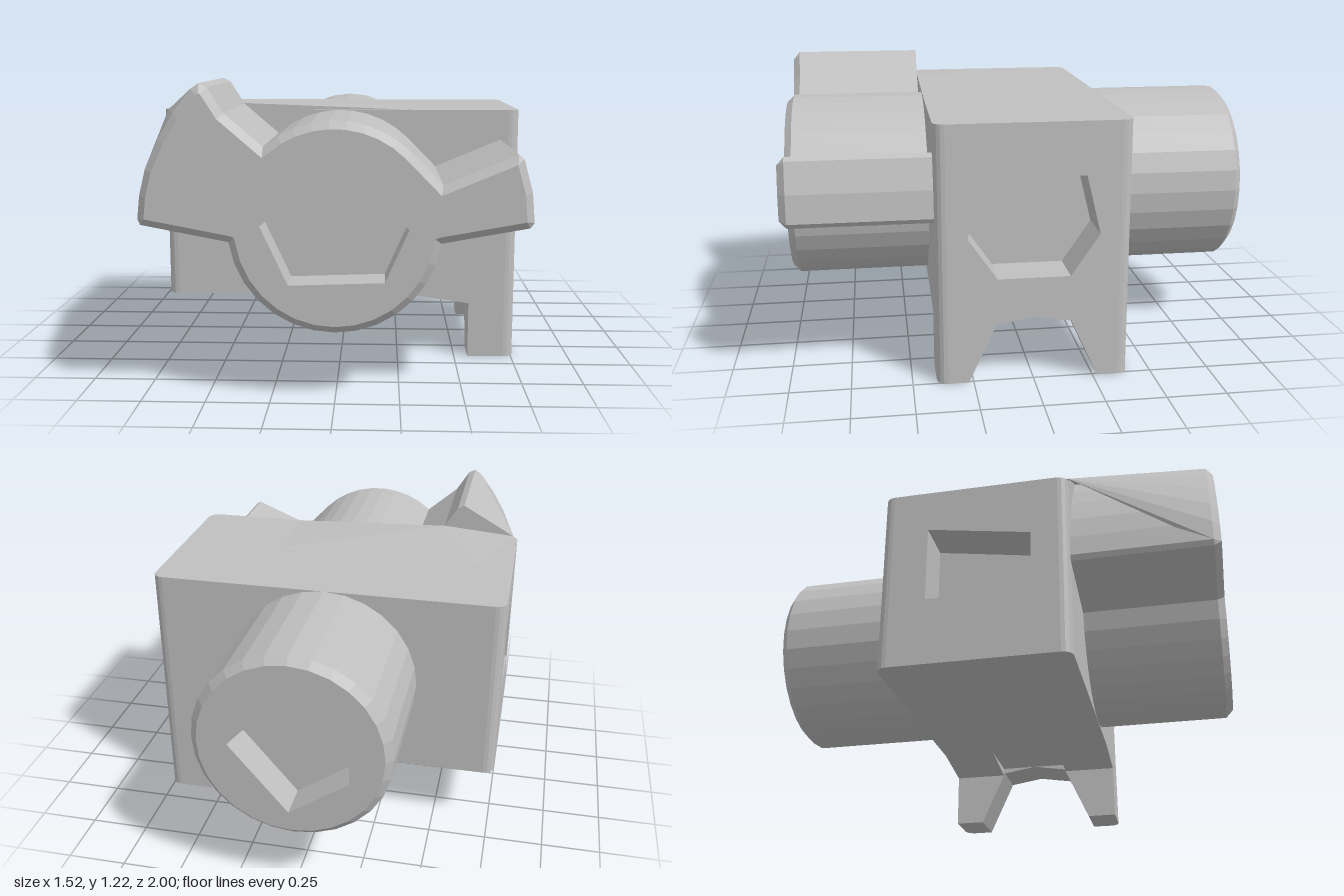
import * as THREE from 'three';

const CY = 0.68, R = 0.405; // axis height and radius of the round bosses

// Points on an arc about the boss axis, in degrees
function arc(from, to, steps) {
  return Array.from({ length: steps + 1 }, (_, i) => {
    const a = THREE.MathUtils.degToRad(from + (to - from) * i / steps);
    return [R * Math.cos(a), CY + R * Math.sin(a)];
  });
}

// Mitred inward offset of a counter-clockwise outline
function inset(pts, d) {
  const n = pts.length;
  const normal = (a, b) => {
    const l = Math.hypot(b[0] - a[0], b[1] - a[1]);
    return [(a[1] - b[1]) / l, (b[0] - a[0]) / l];
  };
  return pts.map((p, i) => {
    const u = normal(pts[(i + n - 1) % n], p), v = normal(p, pts[(i + 1) % n]);
    const k = d / Math.max(0.4, 1 + u[0] * v[0] + u[1] * v[1]);
    return [p[0] + (u[0] + v[0]) * k, p[1] + (u[1] + v[1]) * k];
  });
}

// Inset that only narrows the sides, for rounded vertical edges
const narrow = (pts, d) => pts.map(([x, y]) => [THREE.MathUtils.clamp(x, d - 0.4, 0.4 - d), y]);

function fromTriangles(pos) {
  const g = new THREE.BufferGeometry();
  g.setAttribute('position', new THREE.Float32BufferAttribute(pos, 3));
  g.computeVertexNormals();
  return g;
}

// Prism through rings of [z, inset], with a blind pocket in its front cap
function socketSolid(outline, pocket, rings, depth, shrink = inset) {
  const pos = [];
  const cap = (pts, hole, z, dir) => {
    const v = a => a.map(p => new THREE.Vector2(...p));
    const all = hole ? [...pts, ...hole] : pts;
    for (const t of THREE.ShapeUtils.triangulateShape(v(pts), hole ? [v(hole)] : [])) {
      let [a, b, c] = t.map(i => all[i]);
      const area = (b[0] - a[0]) * (c[1] - a[1]) - (b[1] - a[1]) * (c[0] - a[0]);
      if (area * dir < 0) [b, c] = [c, b];
      pos.push(...a, z, ...b, z, ...c, z);
    }
  };
  const wall = (lo, z0, hi, z1) => lo.forEach((a, i) => {
    const j = (i + 1) % lo.length, b = lo[j], c = hi[j], d = hi[i];
    pos.push(...a, z0, ...b, z0, ...c, z1, ...a, z0, ...c, z1, ...d, z1);
  });
  const loops = rings.map(([z, d]) => [d ? shrink(outline, d) : outline, z]);
  for (let i = 1; i < loops.length; i++) wall(...loops[i - 1], ...loops[i]);
  const [face, top] = loops[loops.length - 1];
  cap(loops[0][0], null, loops[0][1], -1);
  cap(face, pocket, top, 1);
  wall(pocket, top, pocket, top - depth);
  cap(pocket, null, top - depth, 1);
  return fromTriangles(pos);
}

export function createModel() {
  const group = new THREE.Group();
  const grey = new THREE.MeshStandardMaterial({ color: 0xbfbfbf, side: THREE.DoubleSide });
  grey.name = 'grey';
  const add = (name, geometry) => {
    const m = new THREE.Mesh(geometry, grey);
    m.name = name;
    group.add(m);
    return m;
  };

  // Central block
  add('bodyCore', new THREE.BoxGeometry(1.12, 0.81, 0.8)).position.y = CY;

  // Block ends with rounded vertical edges
  const r = 0.045;
  const endRings = [[0.56, 0]];
  for (let i = 0; i <= 4; i++) {
    const a = i / 4 * Math.PI / 2;
    endRings.push([0.76 - r + r * Math.sin(a), r * (1 - Math.cos(a))]);
  }
  const hexagon = [[0.21, 0.865], [-0.21, 0.865], [-0.27, 0.62], [-0.15, 0.445], [0.15, 0.445], [0.27, 0.62]];
  const leggedEnd = [[-0.4, 0], [-0.27, 0], [-0.155, 0.25], [0, 0.275], [0.155, 0.25], [0.27, 0],
    [0.4, 0], [0.4, 1.085], [-0.4, 1.085]];
  add('leggedEnd', socketSolid(leggedEnd, hexagon, endRings, 0.19, narrow).rotateY(Math.PI / 2));

  const square = [[-0.2, 0.57], [0.24, 0.53], [0.24, 0.83], [-0.2, 0.9]];
  const plainEnd = [[-0.4, 0.275], [0.4, 0.275], [0.4, 1.085], [-0.4, 1.085]];
  add('plainEnd', socketSolid(plainEnd, square, endRings, 0.19, narrow).rotateY(-Math.PI / 2));

  // Shallow wedges leading into the legs
  const wedge = new THREE.Shape([[0.3, 0.276], [0.56, 0.24], [0.56, 0.276]].map(p => new THREE.Vector2(...p)));
  for (const z of [0.16, -0.4]) {
    add('legWedge', new THREE.ExtrudeGeometry(wedge, { depth: 0.24, bevelEnabled: false })).position.z = z;
  }

  // Front boss with two wings
  const wingArc = [[-0.47, 1.205], [-0.5, 1.22], [-0.53, 1.2], [-0.6, 1.11], [-0.66, 1.01],
    [-0.71, 0.9], [-0.735, 0.8], [-0.745, 0.71], [-0.735, 0.688]];
  const front = [
    [0.405, 0.625], [0.73, 0.685], [0.745, 0.705], [0.735, 0.82], [0.7, 0.945], [0.68, 0.96],
    [0.405, 0.845], ...arc(45, 131, 9), [-0.41, 1.11], ...wingArc, [-0.405, 0.625], ...arc(188, 352, 14),
  ];
  const frontPentagon = [[0.02, 0.955], [-0.28, 0.69], [-0.175, 0.465], [0.19, 0.478], [0.28, 0.68]];
  add('wingedBoss', socketSolid(front, frontPentagon, [[0.4, 0], [0.97, 0], [1, 0.03]], 0.15));

  // Web from the tall wing back to the block corner
  const corner = [-0.74, 1.085, 0.4], web = [];
  for (let i = 1; i < wingArc.length - 1; i++) {
    web.push(...corner, ...wingArc[i + 1], 0.97, ...wingArc[i], 0.97);
  }
  web.push(...corner, -0.5, 1.22, 0.97, -0.5, 1.22, 0.4);
  web.push(...corner, -0.5, 1.22, 0.4, -0.41, 1.085, 0.4);
  add('wingWeb', fromTriangles(web));

  // Slight rise of the top towards the tall wing
  const peak = [-0.41, 1.113, 0.4];
  const base = [[0.3, 1.086, 0.4], [0.3, 1.086, 0.03], [-0.6, 1.086, 0.03], [-0.74, 1.086, 0.4]];
  const rise = [];
  for (let i = 0; i < 3; i++) rise.push(...peak, ...base[i], ...base[i + 1]);
  rise.push(...peak, ...base[3], ...base[0]);
  add('topRise', fromTriangles(rise));

  // Round rear boss
  const backPentagon = [[0, 0.95], [-0.25, 0.68], [-0.01, 0.39], [0.235, 0.56], [0.235, 0.87]]
    .map(([x, y]) => [x, y]);
  add('rearBoss', socketSolid(arc(0, 360 * 27 / 28, 27), backPentagon, [[0.4, 0], [0.97, 0], [1, 0.03]], 0.15)
    .rotateY(Math.PI));

  return group;
}
